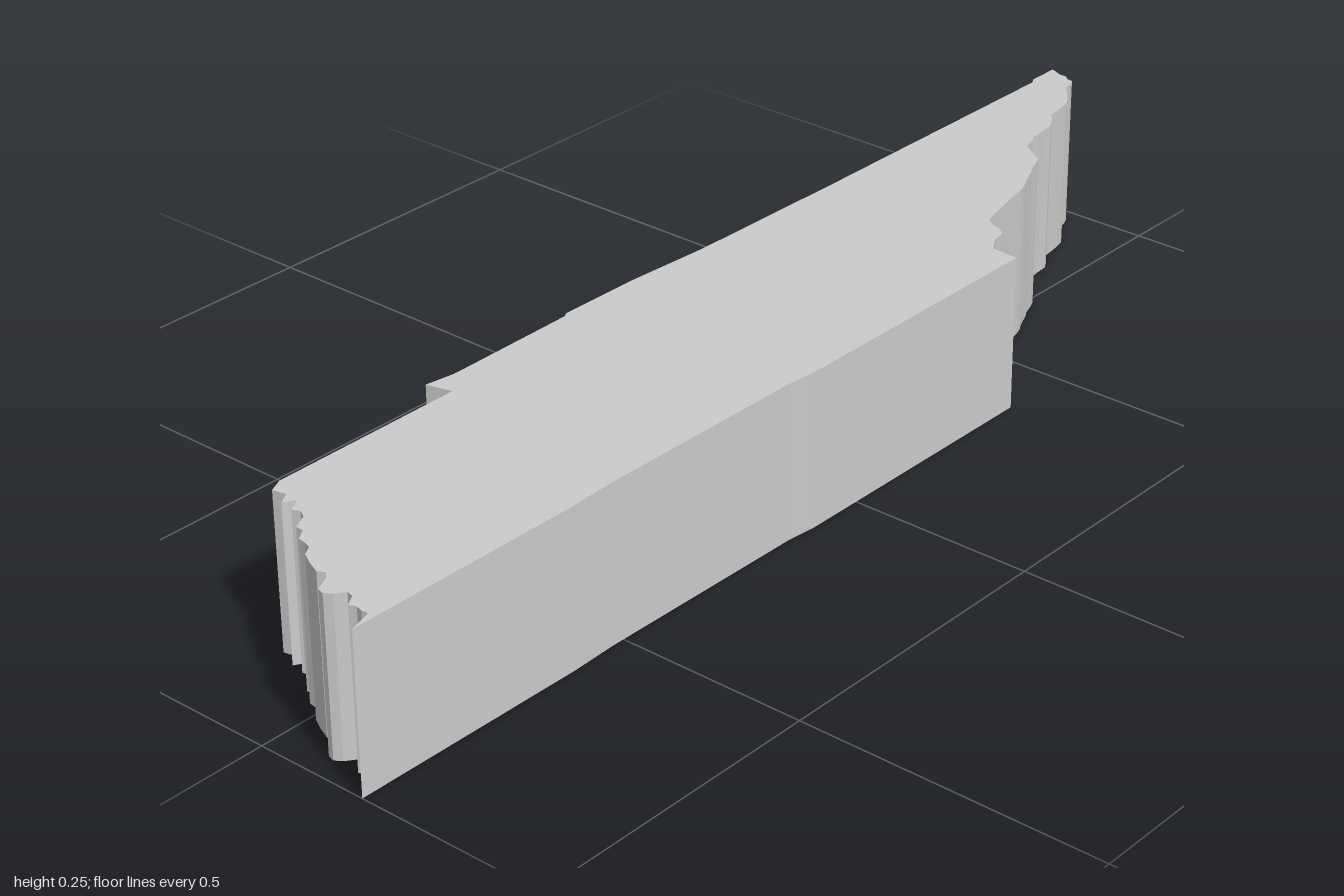
import * as THREE from 'three';

const HEIGHT = 0.255;

// Plan corners as [x, z]
const FRONT = [[-1, 0.187], [-0.6, 0.19], [-0.52, 0.187], [-0.15, 0.19], [-0.1, 0.195], [0.378, 0.195]];
const RIGHT = [[0.385, 0.15], [0.4, 0.135], [0.435, 0.128], [0.46, 0.085], [0.52, 0.07], [0.6, 0.05],
  [0.64, 0.03], [0.69, 0.01], [0.71, -0.03], [0.75, -0.045], [0.8, -0.05], [0.84, -0.075],
  [0.9, -0.085], [0.93, -0.115], [0.975, -0.13], [0.98, -0.16]];
const BACK = [[0.99, -0.183], [0.935, -0.183], [0.925, -0.177], [0.4, -0.18], [0.1, -0.185], [-0.05, -0.195],
  [-0.19, -0.197], [-0.2, -0.192], [-0.43, -0.19], [-0.48, -0.198], [-0.47, -0.156], [-0.8, -0.156]];
const LEFT = [[-0.815, -0.145], [-0.83, -0.1], [-0.865, -0.05], [-0.89, 0], [-0.92, 0.04], [-0.955, 0.085],
  [-0.945, 0.13], [-0.96, 0.175]];

// Repeatable noise in -1..1
function noise(a, b = 0) {
  const s = Math.sin(a * 127.1 + b * 311.7 + 5.3) * 43758.5453;
  return (s - Math.floor(s)) * 2 - 1;
}

// x of an edge line at a given z
function xAt(line, z) {
  const pts = [...line].sort((a, b) => a[1] - b[1]);
  if (z <= pts[0][1]) return pts[0][0];
  for (let i = 1; i < pts.length; i++) {
    const [x0, z0] = pts[i - 1], [x1, z1] = pts[i];
    if (z <= z1) return x0 + (x1 - x0) * (z - z0) / (z1 - z0);
  }
  return pts[pts.length - 1][0];
}

// Breaks a line into short ragged steps
function ragged(line, steps, amount) {
  const out = [];
  for (let i = 0; i < line.length - 1; i++) {
    for (let k = 0; k < steps; k++) {
      const t = k / steps, [x0, z0] = line[i], [x1, z1] = line[i + 1];
      out.push([x0 + (x1 - x0) * t + noise(i, k) * amount, z0 + (z1 - z0) * t]);
    }
  }
  out.push(line[line.length - 1]);
  return out;
}

function mesh(name, positions) {
  const geometry = new THREE.BufferGeometry();
  geometry.setAttribute('position', new THREE.Float32BufferAttribute(positions, 3));
  geometry.computeVertexNormals();
  const m = new THREE.Mesh(geometry, new THREE.MeshStandardMaterial({ color: 0xcccccc, flatShading: true }));
  m.name = name;
  return m;
}

// Upright faces along a closed plan loop
function addWalls(out, loop, y0, y1) {
  loop.forEach(([ax, az], i) => {
    const [bx, bz] = loop[(i + 1) % loop.length];
    out.push(ax, y0, az, bx, y0, bz, bx, y1, bz, ax, y0, az, bx, y1, bz, ax, y1, az);
  });
}

// Level face filling a plan loop, facing up or down
function addFlat(out, loop, holes, y, up) {
  const toVec = l => l.map(([x, z]) => new THREE.Vector2(x, z));
  const all = [loop, ...holes].flat();
  for (const tri of THREE.ShapeUtils.triangulateShape(toVec(loop), holes.map(toVec))) {
    const [a, b, c] = tri.map(i => all[i]);
    const facesDown = (b[0] - a[0]) * (c[1] - a[1]) - (b[1] - a[1]) * (c[0] - a[0]) > 0;
    for (const [x, z] of facesDown === up ? [a, c, b] : [a, b, c]) out.push(x, y, z);
  }
}

// Irregular stone-shaped cells from a jittered lattice
function makeCells(columns, rows) {
  const node = (i, j) => {
    const v = j / (2 * rows), z = -0.148 + 0.328 * v;
    const x0 = xAt(LEFT, z) + 0.045, x1 = xAt(RIGHT, z) - 0.035;
    const edgeX = i === 0 || i === 2 * columns, edgeZ = j === 0 || j === 2 * rows;
    return [x0 + (x1 - x0) * i / (2 * columns) + (edgeX ? 0 : noise(i, j) * 0.012),
      z + (edgeZ ? 0 : noise(j + 40, i) * 0.01)];
  };
  const ring = [[0, 0], [1, 0], [2, 0], [2, 1], [2, 2], [1, 2], [0, 2], [0, 1]];
  const cells = [];
  for (let j = 0; j < rows; j++) {
    for (let i = 0; i < columns; i++) {
      const pts = ring.map(([a, b]) => node(2 * i + a, 2 * j + b));
      const cx = pts.reduce((s, p) => s + p[0], 0) / 8, cz = pts.reduce((s, p) => s + p[1], 0) / 8;
      cells.push(pts.map(([x, z]) => [cx + (x - cx) * 0.88, cz + (z - cz) * 0.88]));
    }
  }
  return cells;
}

export function createModel() {
  const group = new THREE.Group();
  group.name = 'brokenSlab';

  const outline = [...FRONT, ...ragged(RIGHT, 3, 0.006), ...BACK, ...ragged(LEFT, 4, 0.014)];
  const cells = makeCells(18, 5);

  // Flat top
  const top = [];
  addFlat(top, outline, [], HEIGHT, true);
  group.add(mesh('topSurface', top));

  // Straight long sides and ragged broken ends
  const sides = [];
  addWalls(sides, outline, 0, HEIGHT);
  group.add(mesh('outerWalls', sides));

  // Underside web between the pits
  const web = [];
  addFlat(web, outline, cells, 0, false);
  group.add(mesh('undersideWeb', web));

  // Pits sunk into the underside to varied depths
  const pits = [];
  cells.forEach((cell, i) => {
    const depth = 0.11 + noise(i, 9) * 0.05;
    addWalls(pits, cell, 0, depth);
    addFlat(pits, cell, [], depth, false);
  });
  group.add(mesh('undersidePits', pits));

  return group;
}
